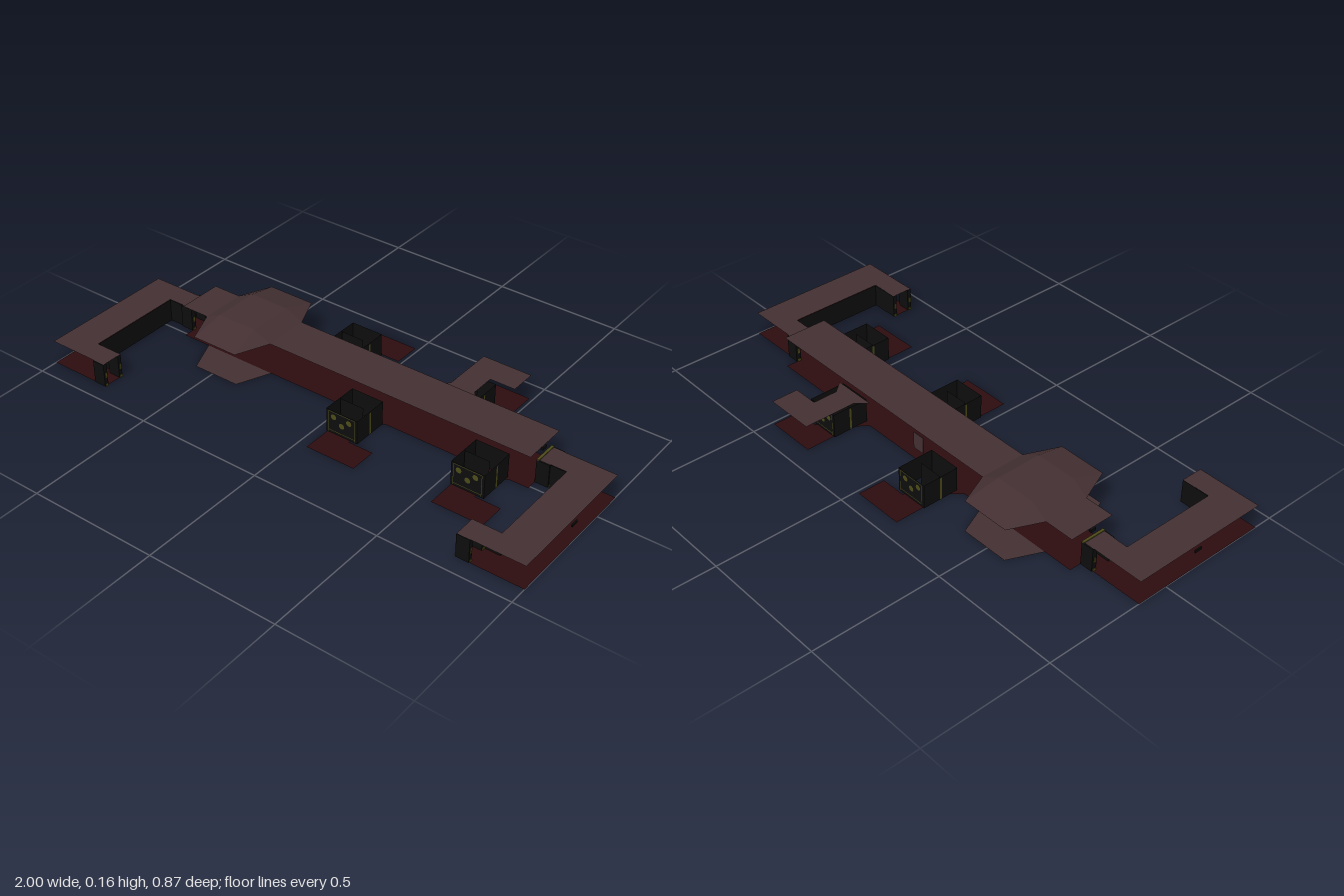
import * as THREE from 'three';

const mat = (name, color) => {
  const m = new THREE.MeshStandardMaterial({ color, side: THREE.DoubleSide });
  m.name = name;
  return m;
};

export function createModel() {
  const model = new THREE.Group();
  const ceilingBrown = mat('ceiling brown', 0x443032);
  const floorRed = mat('floor red', 0x2e0d0f);
  const wallBlack = mat('wall black', 0x0d0d0d);
  const trimOlive = mat('trim olive', 0x4c4a18);

  const add = (name, geo, material, parent = model) => {
    const mesh = new THREE.Mesh(geo, material);
    mesh.name = name;
    parent.add(mesh);
    return mesh;
  };
  // horizontal sheet from [x, z] outline
  const sheet = (name, pts, y, material) => {
    const geo = new THREE.ShapeGeometry(new THREE.Shape(pts.map(([x, z]) => new THREE.Vector2(x, -z))));
    geo.rotateX(-Math.PI / 2).translate(0, y, 0);
    return add(name, geo, material);
  };
  // upright sheet between two plan points
  const wall = (name, [x0, z0], [x1, z1], y0, y1, material) => {
    const geo = new THREE.PlaneGeometry(Math.hypot(x1 - x0, z1 - z0), y1 - y0);
    geo.rotateY(-Math.atan2(z1 - z0, x1 - x0));
    geo.translate((x0 + x1) / 2, (y0 + y1) / 2, (z0 + z1) / 2);
    return add(name, geo, material);
  };
  const box = (name, x0, x1, y0, y1, z0, z1, material) => {
    const geo = new THREE.BoxGeometry(Math.abs(x1 - x0), y1 - y0, Math.abs(z1 - z0));
    geo.translate((x0 + x1) / 2, (y0 + y1) / 2, (z0 + z1) / 2);
    return add(name, geo, material);
  };

  // main corridor
  const zb = -0.17, zf = 0.01;
  const hall = (x0, x1) => [[x0, zb], [x1, zb], [x1, zf], [x0, zf]];
  sheet('mainFloor', hall(-0.75, 0.75), 0, floorRed);
  sheet('mainCeilingRight', hall(-0.75, -0.635), 0.126, ceilingBrown);
  sheet('mainCeilingLeft', hall(-0.335, 0.75), 0.126, ceilingBrown);
  box('backPanel', -0.03, 0.02, 0.04, 0.106, -0.166, -0.163, ceilingBrown);

  // round room: floor bays and a raised ceiling made of facets
  for (const [z, ze, name] of [[zf, 0.14, 'frontBayFloor'], [zb, -0.295, 'backBayFloor']]) {
    sheet(name, [[-0.635, z], [-0.335, z], [-0.39, ze], [-0.58, ze]], 0, ceilingBrown);
  }
  const lower = [[-0.58, 0.14], [-0.39, 0.14], [-0.335, zf], [-0.335, zb],
    [-0.39, -0.295], [-0.58, -0.295], [-0.635, zb], [-0.635, zf]];
  const upper = lower.map(([x, z]) => [x < -0.48 ? -0.565 : -0.405, z > -0.08 ? 0.015 : -0.165]);
  const tri = [];
  const put = ([x, z], y) => tri.push(x, y, z);
  lower.forEach((a, i) => {
    const j = (i + 1) % 8, b = lower[j];
    put(a, 0.126); put(b, 0.126); put(upper[j], 0.162);
    put(a, 0.126); put(upper[j], 0.162); put(upper[i], 0.162);
  });
  const domeGeo = new THREE.BufferGeometry();
  domeGeo.setAttribute('position', new THREE.Float32BufferAttribute(tri, 3));
  domeGeo.computeVertexNormals();
  add('roomCeilingSlopes', domeGeo, ceilingBrown);
  sheet('roomCeilingTop', [upper[0], upper[1], upper[3], upper[5]], 0.162, ceilingBrown);

  // U-shaped end wings
  for (const s of [-1, 1]) {
    const outline = [[0.75, -0.12], [1, -0.12], [1, 0.43], [0.75, 0.43], [0.75, 0.345],
      [0.86, 0.345], [0.86, -0.035], [0.75, -0.035]].map(([x, z]) => [x * s, z]);
    sheet('wingFloor', outline, 0, floorRed);
    sheet('wingCeiling', outline, 0.092, ceilingBrown);
    for (let i = 4; i < 7; i++) wall('wingInnerWall', outline[i], outline[i + 1], 0, 0.091, wallBlack);
    // doorway posts with trim at the open ends
    for (const [z0, z1] of [[-0.125, -0.105], [-0.05, -0.03], [0.345, 0.36], [0.416, 0.432]]) {
      box('doorPost', 0.75 * s, 0.8 * s, 0, 0.091, z0, z1, wallBlack);
      const zc = (z0 + z1) / 2;
      for (const x of [0.748, 0.802]) {
        box('postTrim', (x - 0.001) * s, (x + 0.001) * s, 0.035, 0.055, zc - 0.004, zc + 0.004, trimOlive);
        box('postFoot', (x - 0.001) * s, (x + 0.001) * s, 0, 0.01, zc - 0.006, zc + 0.006, trimOlive);
      }
    }
    box('doorLintel', 0.75 * s, 0.76 * s, 0.091, 0.095, -0.125, -0.03, trimOlive);
    // small plates at the hall end and on the outer side
    box('hallSign', 0.743 * s, 0.752 * s, 0.108, 0.119, -0.087, -0.065, wallBlack);
    box('sidePlate', 0.995 * s, 1 * s, 0.062, 0.072, 0.13, 0.16, wallBlack);
  }

  // L-shaped side passages: x start, side, depth, has ceiling
  const passages = [[-0.212, -1, 0.265, false], [0.29, -1, 0.25, true],
    [0.04, 1, 0.265, false], [0.54, 1, 0.25, false]];
  for (const [x, s, d, roofed] of passages) {
    const z = (v) => (s > 0 ? zf : zb) + s * v;
    const outline = [[x - 0.037, z(0)], [x, z(0.045)], [x, z(d)], [x + 0.197, z(d)],
      [x + 0.197, z(d - 0.107)], [x + 0.097, z(d - 0.107)], [x + 0.097, z(0.045)], [x + 0.135, z(0)]];
    sheet('passageFloor', outline, 0.001, floorRed);
    if (roofed) sheet('passageCeiling', outline, 0.1, ceilingBrown);

    // gate: open-topped black block with olive door markings
    const x0 = x - 0.004, x1 = x + 0.126, za = z(d - 0.26), zc = z(d - 0.115);
    const xm = (x0 + x1) / 2, zm = (za + zc) / 2;
    const h = 0.095;
    wall('gateSide', [x0, za], [x0, zc], 0, h, wallBlack);
    wall('gateSide', [x1, za], [x1, zc], 0, h, wallBlack);
    wall('gateDivider', [x, zm], [x + 0.097, zm], 0, h, wallBlack);
    for (const zz of [za, zc]) {
      const o = zz + Math.sign(zz - zm) * 0.001;
      wall('gateDoor', [x0, zz], [x1, zz], 0, h, wallBlack);
      for (const [dx, y, r] of [[-0.035, 0.07, 0.011], [0.03, 0.07, 0.011], [0, 0.045, 0.011]]) {
        add('doorDisc', new THREE.CircleGeometry(r, 16).translate(xm + dx, y, o), trimOlive);
      }
      for (const e of [-0.055, 0.055]) wall('doorTrim', [xm + e - 0.001, o], [xm + e + 0.001, o], 0.005, 0.09, trimOlive);
      for (const y of [0.012, 0.09]) wall('doorTrim', [xm - 0.055, o], [xm + 0.055, o], y - 0.001, y + 0.001, trimOlive);
    }
    for (const xx of [x0 - 0.001, x1 + 0.001]) wall('sideTrim', [xx, zm - 0.004], [xx, zm + 0.004], 0, 0.09, trimOlive);
  }
  return model;
}
